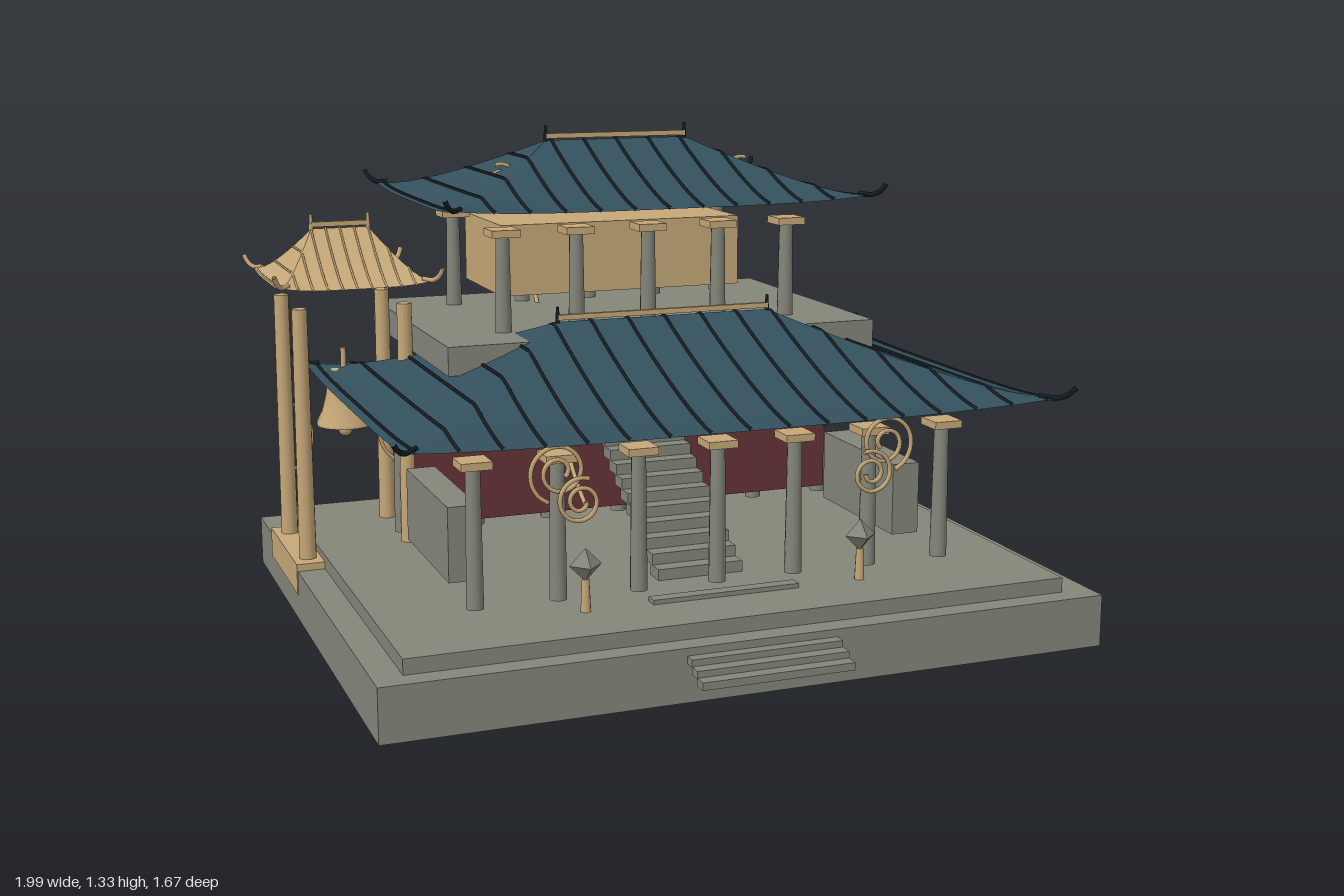
import * as THREE from 'three';

const mat = (name, color) => Object.assign(new THREE.MeshStandardMaterial({ color }), { name });

export function createModel() {
  const stone = mat('stone', 0x84867a);
  const wood = mat('pale wood', 0xc6a878);
  const tile = mat('blue roof tile', 0x33505d);
  const dark = mat('dark trim', 0x141c20);
  const red = mat('red wall', 0x663336);
  tile.side = wood.side = THREE.DoubleSide;

  const root = new THREE.Group();
  root.name = 'pavilion';
  const CX = 0.025; // symmetry axis of the main building

  const add = (parent, name, geo, material, x = 0, y = 0, z = 0) => {
    const m = new THREE.Mesh(geo, material);
    m.name = name;
    m.position.set(x, y, z);
    parent.add(m);
    return m;
  };
  const group = (name) => {
    const g = new THREE.Group();
    g.name = name;
    root.add(g);
    return g;
  };
  // Box given by its limits on each axis
  const box = (parent, name, material, [x0, x1], [y0, y1], [z0, z1]) =>
    add(parent, name, new THREE.BoxGeometry(x1 - x0, y1 - y0, z1 - z0), material,
      (x0 + x1) / 2, (y0 + y1) / 2, (z0 + z1) / 2);
  const tube = (parent, name, points, radius, material, segments = 16) =>
    add(parent, name, new THREE.TubeGeometry(
      new THREE.CatmullRomCurve3(points.map((p) => new THREE.Vector3(...p))), segments, radius, 6), material);

  // Terraces
  box(root, 'lowerTerrace', stone, [-0.945, 1.0], [0, 0.14], [-0.83, 0.735]);
  box(root, 'upperTerrace', stone, [-0.87, 0.915], [0.14, 0.18], [-0.77, 0.675]);

  // Short flights of steps
  const steps = group('entranceSteps');
  for (const [top, zBack] of [[0.12, 0.73], [0.192, 0.47]]) {
    for (let i = 0; i < 3; i++) {
      const y = top - i * 0.017, z = zBack + i * 0.035;
      box(steps, 'entranceStep', stone, [-0.18, 0.225], [y - 0.02, y], [z, z + 0.036]);
    }
  }

  // Main staircase with one curved handrail
  const stair = group('staircase');
  for (let i = 0; i < 18; i++) {
    const y = 0.18 + i * 0.03, z = 0.32 - i * 0.0465;
    box(stair, 'stairTread', stone, [-0.095, 0.145], [y, y + 0.03], [z - 0.06, z]);
  }
  tube(stair, 'handrail', [[-0.155, 0.29, -0.1], [-0.155, 0.33, -0.165], [-0.155, 0.4, -0.24],
    [-0.155, 0.5, -0.3], [-0.155, 0.68, -0.44], [-0.155, 0.85, -0.565]], 0.007, wood, 24);

  // Ground floor walls
  box(root, 'redBackWall', red, [-0.62, 0.67], [0.227, 0.45], [-0.298, -0.272]);
  for (const s of [-1, 1]) {
    const x = CX + s * 0.635;
    box(root, 'sideWall', stone, [x - 0.04, x + 0.04], [0.22, 0.42], [-0.165, 0.27]);
  }

  // Colonnades with wooden capitals
  const columnRow = (name, count, gap, z, y0, y1) => {
    const g = group(name);
    for (let i = 0; i < count; i++) {
      const x = CX + (i - (count - 1) / 2) * gap;
      add(g, 'column', new THREE.CylinderGeometry(0.019, 0.023, y1 - y0, 12), stone, x, (y0 + y1) / 2, z);
      add(g, 'capital', new THREE.BoxGeometry(0.08, 0.02, 0.08), wood, x, y1 + 0.005, z);
    }
  };
  columnRow('lowerFrontColumns', 7, 0.217, 0.43, 0.2, 0.565);
  columnRow('lowerBackColumns', 7, 0.217, -0.325, 0.2, 0.565);
  columnRow('upperFrontColumns', 5, 0.209, -0.075, 0.8, 1.065);
  columnRow('upperBackColumns', 5, 0.209, -0.585, 0.8, 1.065);

  // Upper storey
  box(root, 'upperFloor', stone, [-0.595, 0.635], [0.723, 0.8], [-0.76, 0.1]);
  box(root, 'upperRoom', wood, [-0.335, 0.385], [0.863, 1.063], [-0.66, -0.283]);

  // Hipped roof with concave slopes, draped ribs, ridge bar, finials and upturned corners
  const hipRoof = (name, o) => {
    const g = group(name);
    g.position.set(o.x, o.y, o.z);
    const rise = (t, x, z) => o.h * Math.pow(Math.max(t, 0), 1.3) +
      o.lift * Math.pow(Math.abs(x * z) / (o.hx * o.hz), 4);
    for (let side = 0; side < 4; side++) {
      const geo = new THREE.PlaneGeometry(2, 1, 16, 10);
      const p = geo.attributes.position;
      for (let i = 0; i < p.count; i++) {
        const u = p.getX(i), t = p.getY(i) + 0.5;
        const ax = o.hx - (o.hx - o.ridge) * t, az = o.hz * (1 - t);
        const [x, z] = [[u * ax, az], [ax, -u * az], [-u * ax, -az], [-ax, u * az]][side];
        p.setXYZ(i, x, rise(t, x, z), z);
      }
      geo.computeVertexNormals();
      add(g, 'roofSlope', geo, o.skin);
    }
    for (let i = 0; i < o.ribs; i++) {
      const x = -o.hx * 0.97 + (2 * o.hx * 0.97 * i) / (o.ribs - 1);
      const path = [];
      for (let k = 0; k <= 24; k++) {
        const z = o.hz * (k / 12 - 1);
        const t = Math.min((o.hx - Math.abs(x)) / (o.hx - o.ridge), 1 - Math.abs(z) / o.hz);
        path.push([x, rise(t, x, z) + 0.001, z]);
      }
      tube(g, 'roofRib', path, o.ribRadius, o.trim, 36);
    }
    add(g, 'ridgeBar', new THREE.BoxGeometry(o.ridge * 2, 0.014, 0.014), wood, 0, o.h + 0.012, 0);
    const s = o.tip;
    for (const sx of [-1, 1]) {
      add(g, 'ridgeFinial', new THREE.CylinderGeometry(0.004, 0.007, 0.045, 8), o.trim,
        sx * o.ridge, o.h + 0.018, 0);
      for (const sz of [-1, 1]) {
        const at = (d, y) => [sx * (o.hx + d), y + o.lift, sz * (o.hz + d)];
        tube(g, 'cornerTip', [at(-s, 0.004), at(0, 0.002), at(s * 0.6, 0.014), at(s, 0.034)], 0.007, o.trim, 10);
      }
    }
  };
  hipRoof('lowerRoof', { x: CX, y: 0.645, z: 0.05, hx: 0.87, hz: 0.595, ridge: 0.305, h: 0.195,
    lift: 0.015, ribs: 17, ribRadius: 0.005, skin: tile, trim: dark, tip: 0.035 });
  hipRoof('upperRoof', { x: CX, y: 1.135, z: -0.335, hx: 0.6, hz: 0.435, ridge: 0.21, h: 0.158,
    lift: 0.015, ribs: 13, ribRadius: 0.005, skin: tile, trim: dark, tip: 0.028 });
  hipRoof('bellRoof', { x: -0.758, y: 0.917, z: -0.433, hx: 0.207, hz: 0.222, ridge: 0.08, h: 0.142,
    lift: 0.012, ribs: 11, ribRadius: 0.003, skin: wood, trim: wood, tip: 0.022 });

  // Bell tower frame
  const tower = group('bellTower');
  box(tower, 'towerFooting', wood, [-0.948, -0.58], [0.075, 0.16], [-0.63, -0.23]);
  for (const s of [-1, 1]) {
    const x = -0.76 + s * 0.145;
    for (const z of [-0.29, -0.565]) {
      add(tower, 'towerPost', new THREE.CylinderGeometry(0.021, 0.024, 0.7, 12), wood, x, 0.51, z);
    }
    tube(tower, 'curvedBracket', [[x, 0.57, -0.43], [x - s * 0.035, 0.53, -0.43],
      [x - s * 0.048, 0.48, -0.43], [x - s * 0.035, 0.42, -0.43], [x, 0.38, -0.43]], 0.006, wood);
  }

  // Bell and clapper
  const bellProfile = [[0, 0.165], [0.035, 0.16], [0.046, 0.145], [0.052, 0.09], [0.065, 0.04], [0.08, 0.008], [0.08, 0]];
  add(tower, 'bell', new THREE.LatheGeometry(bellProfile.map((p) => new THREE.Vector2(...p)).reverse(), 20),
    wood, -0.76, 0.5, -0.43);
  add(tower, 'bellHanger', new THREE.CylinderGeometry(0.008, 0.008, 0.06, 8), wood, -0.76, 0.69, -0.43);
  add(tower, 'clapper', new THREE.SphereGeometry(0.02, 12, 8), wood, -0.76, 0.485, -0.43);

  // Spiral scrolls and crystal lanterns, mirrored about the axis
  const spiral = (x, y, z, r, dir, start) => {
    const pts = [];
    for (let i = 0; i <= 32; i++) {
      const a = start + (i / 32) * Math.PI * 3.6, d = r * (1 - 0.75 * (i / 32));
      pts.push([x + dir * d * Math.cos(a), y + d * Math.sin(a), z]);
    }
    tube(root, 'spiralScroll', pts, 0.006, wood, 64);
  };
  for (const s of [-1, 1]) {
    spiral(CX + s * 0.45, 0.545, 0.495, 0.08, s, -1.2);
    spiral(CX + s * 0.4, 0.47, 0.513, 0.062, -s, 1.2);
    spiral(CX + s * 0.36, 1.187, -0.275, 0.05, s, 1.2);
    const x = CX + s * 0.382;
    add(root, 'lanternPost', new THREE.CylinderGeometry(0.01, 0.014, 0.085, 8), wood, x, 0.222, 0.492);
    add(root, 'lanternCrystal', new THREE.OctahedronGeometry(0.043), stone, x, 0.301, 0.492);
  }
  return root;
}
